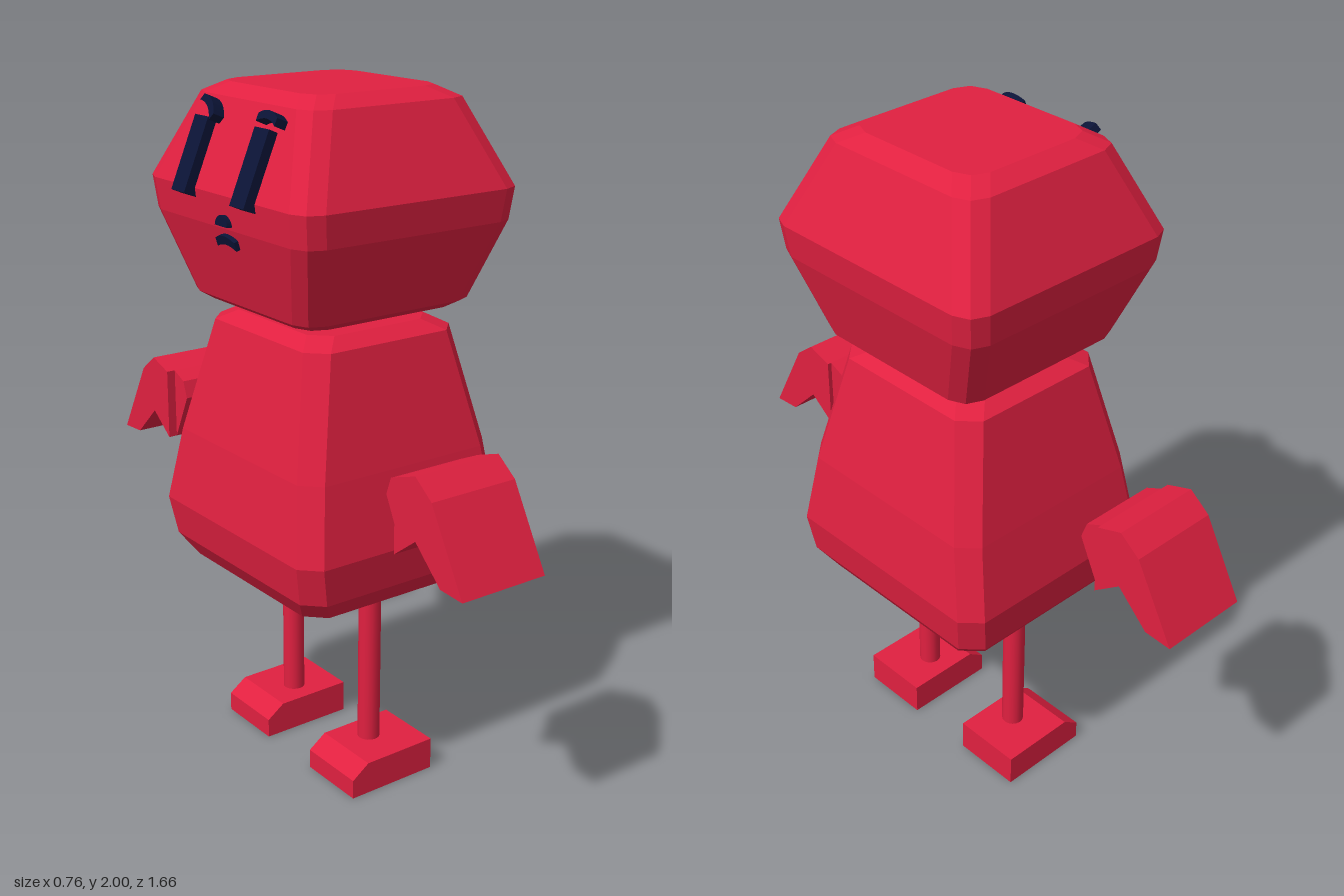
import * as THREE from 'three';

const red = new THREE.MeshStandardMaterial({ color: 0xe02040, flatShading: true });
const redSmooth = new THREE.MeshStandardMaterial({ color: 0xe02040 });
const navy = new THREE.MeshStandardMaterial({ color: 0x0b1437, flatShading: true });

// Closed loft through rectangular rings [y, xMin, xMax, zHalf] with cut corners
function loft(rings, cut, segs) {
  const pos = [], idx = [];
  const n = 4 * (segs + 1);
  for (const [y, x0, x1, z] of rings) {
    const cx = (x0 + x1) / 2, w = (x1 - x0) / 2 - cut, d = z - cut;
    for (let q = 0; q < 4; q++) {
      const sx = q === 0 || q === 3 ? 1 : -1, sz = q < 2 ? 1 : -1;
      for (let s = 0; s <= segs; s++) {
        const a = (q + s / segs) * Math.PI / 2;
        pos.push(cx + sx * w + cut * Math.cos(a), y, sz * d + cut * Math.sin(a));
      }
    }
  }
  const last = rings.length - 1;
  for (let i = 0; i < last; i++) {
    for (let j = 0; j < n; j++) {
      const k = (j + 1) % n, a = i * n, b = a + n;
      idx.push(a + j, b + j, a + k, a + k, b + j, b + k);
    }
  }
  for (let j = 1; j < n - 1; j++) {
    idx.push(0, j, j + 1, last * n, last * n + j + 1, last * n + j);
  }
  const g = new THREE.BufferGeometry();
  g.setAttribute('position', new THREE.Float32BufferAttribute(pos, 3));
  g.setIndex(idx);
  const flat = g.toNonIndexed();
  flat.computeVertexNormals();
  return flat;
}

const toShape = (pts) => new THREE.Shape(pts.map(([x, y]) => new THREE.Vector2(x, y)));

const extrude = (shape, depth) =>
  new THREE.ExtrudeGeometry(shape, { depth, bevelEnabled: false, curveSegments: 8 });

// A (z, y) outline extruded along x from x0 to x1
const sideExtrude = (shape, x0, x1) =>
  extrude(shape, x1 - x0).rotateY(-Math.PI / 2).translate(x1, 0, 0);

// Curved band outline, arching upwards
function arch(width, rise, thick) {
  const s = new THREE.Shape();
  s.moveTo(-width / 2, 0);
  s.quadraticCurveTo(0, 2 * rise, width / 2, 0);
  s.lineTo(width / 2, -thick);
  s.quadraticCurveTo(0, 2 * rise - thick, -width / 2, -thick);
  return s;
}

export function createModel() {
  const model = new THREE.Group();
  const add = (name, geo, mat, parent = model) => {
    const m = new THREE.Mesh(geo, mat);
    m.name = name;
    parent.add(m);
    return m;
  };

  // Head and body
  add('head', loft([
    [1.4, -0.245, 0.275, 0.26], [1.42, -0.275, 0.303, 0.29], [1.645, -0.34, 0.367, 0.378],
    [1.735, -0.35, 0.377, 0.388], [1.97, -0.25, 0.275, 0.28], [2.0, -0.2, 0.222, 0.225],
  ], 0.065, 2), red);
  add('body', loft([
    [0.55, -0.188, 0.222, 0.23], [0.6, -0.275, 0.31, 0.317], [0.665, -0.318, 0.354, 0.366],
    [0.78, -0.339, 0.371, 0.381], [1.0, -0.307, 0.344, 0.341], [1.335, -0.233, 0.27, 0.267],
    [1.365, -0.185, 0.217, 0.217],
  ], 0.053, 1), red);

  // Legs, feet and arms on each side
  const footShape = toShape([[-0.14, 0], [0.15, 0], [0.15, 0.097], [-0.085, 0.097], [-0.14, 0.058]]);
  const hand = [[0.56, 1.083], [0.64, 1.11], [0.705, 1.06], [0.83, 0.835], [0.745, 0.84], [0.645, 0.935], [0.56, 0.87]];
  const shoulder = [[0.492, 1.01], [0.51, 1.06], [0.56, 1.083], [0.56, 0.87]];
  for (const s of [1, -1]) {
    const side = s > 0 ? 'left' : 'right';
    const flip = (pts) => toShape(pts.map(([z, y]) => [s * z, y]));

    const leg = new THREE.CylinderGeometry(0.033, 0.033, 0.48, 16).translate(0.016, 0.325, s * 0.193);
    add(side + 'Leg', leg, redSmooth);
    add(side + 'Foot', extrude(footShape, 0.214).translate(0, 0, s * 0.216 - 0.107), red);

    const arm = new THREE.Group();
    arm.name = side + 'Arm';
    model.add(arm);
    add('forearm', sideExtrude(flip(hand), -0.195, 0.083), red, arm);
    add('shoulder', sideExtrude(flip(shoulder), -0.168, 0.07), red, arm);
  }

  // Face on the -x side, each feature leaning with the head surface
  const face = new THREE.Group();
  face.name = 'face';
  model.add(face);
  const feature = (name, geo, x, y, z, lean, roll = 0) => {
    const m = add(name, geo, navy, face);
    m.position.set(x, y, z);
    m.rotation.set(roll, 0, lean, 'ZYX');
  };
  const lean = -0.4;
  const brow = sideExtrude(arch(0.085, 0.013, 0.022), -0.02, 0.02);
  for (const [side, z] of [['left', 0.138], ['right', -0.147]]) {
    feature(side + 'Eye', new THREE.BoxGeometry(0.04, 0.21, 0.065), -0.325, 1.815, z, lean);
  }
  feature('leftBrow', brow, -0.277, 1.945, 0.155, lean, 0.05);
  feature('rightBrow', brow, -0.277, 1.945, -0.12, lean, 0.6);

  const noseShape = new THREE.Shape();
  noseShape.absarc(0, 0, 0.029, 0, Math.PI, false);
  feature('nose', sideExtrude(noseShape, -0.012, 0.012), -0.346, 1.655, 0.022, -0.06);
  feature('mouth', sideExtrude(arch(0.09, 0.012, 0.025), -0.012, 0.012), -0.334, 1.62, 0.02, 0.3);

  return model;
}
